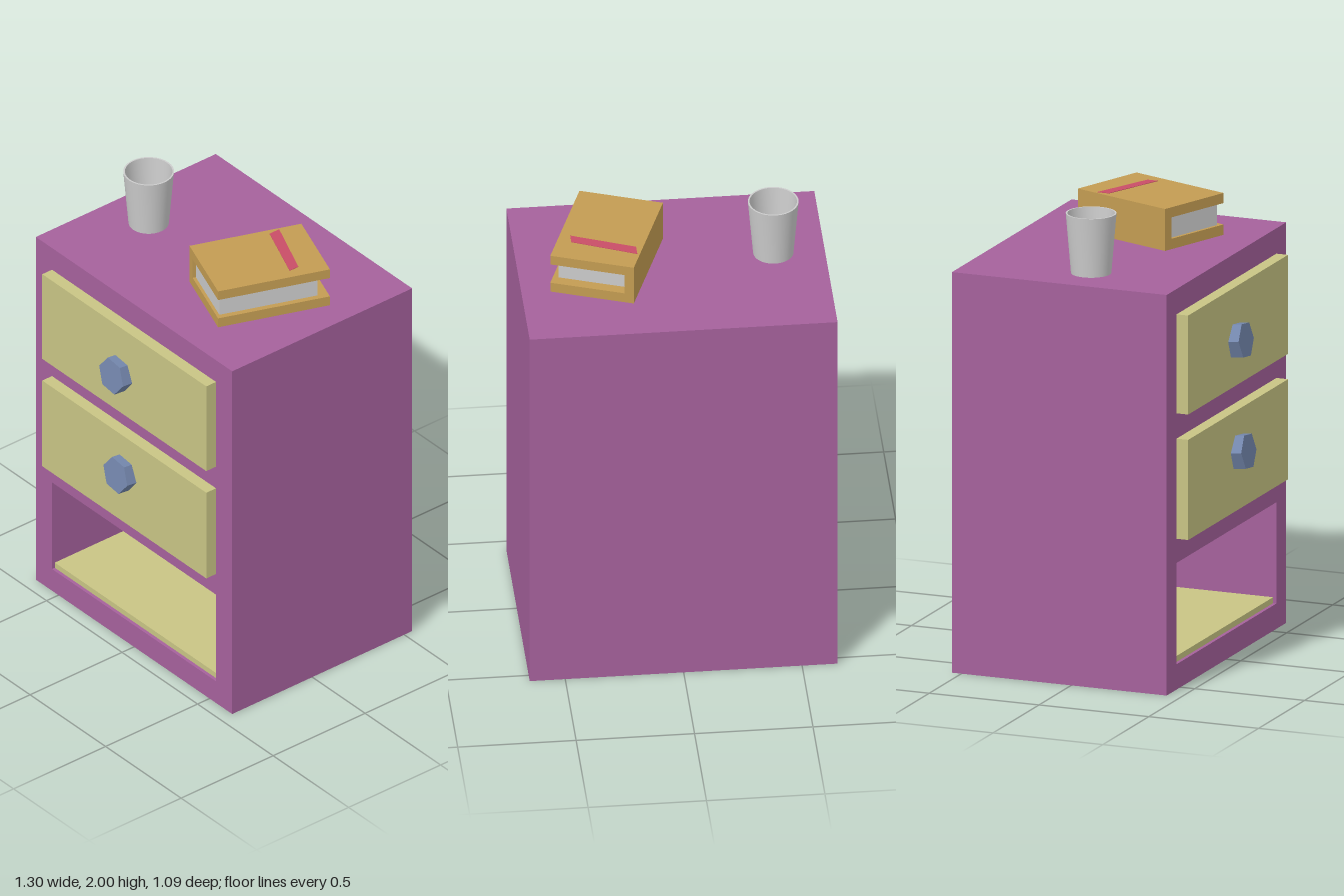
import * as THREE from 'three';
import { toCreasedNormals } from 'three/addons/utils/BufferGeometryUtils.js';

const mat = (color, opts = {}) => new THREE.MeshStandardMaterial({ color, ...opts });
const purple = mat(0xa5619c), olive = mat(0xc8c484), blue = mat(0x7487ad, { flatShading: true });
const gold = mat(0xc39c52), red = mat(0xc84d66), grey = mat(0xcccccc);
const greyThin = mat(0xcccccc, { side: THREE.DoubleSide });

function add(parent, name, geometry, material, x = 0, y = 0, z = 0) {
  const mesh = new THREE.Mesh(geometry, material);
  mesh.name = name;
  mesh.position.set(x, y, z);
  parent.add(mesh);
  return mesh;
}

// Box given by its limits on each axis
function block(parent, name, material, [x0, x1], [y0, y1], [z0, z1]) {
  return add(parent, name, new THREE.BoxGeometry(x1 - x0, y1 - y0, z1 - z0), material,
    (x0 + x1) / 2, (y0 + y1) / 2, (z0 + z1) / 2);
}

function rectangle(Type, x0, y0, x1, y1) {
  return new Type([[x0, y0], [x1, y0], [x1, y1], [x0, y1]].map(p => new THREE.Vector2(...p)));
}

export function createModel() {
  const model = new THREE.Group();
  model.name = 'nightstand';

  // Cabinet: solid back half, front half pierced by the open bottom bay
  const cabinet = new THREE.Group();
  cabinet.name = 'cabinet';
  model.add(cabinet);
  const face = rectangle(THREE.Shape, -0.65, 0, 0.65, 1.74);
  face.holes.push(rectangle(THREE.Path, -0.543, 0.11, 0.543, 0.55));
  add(cabinet, 'cabinetFront', new THREE.ExtrudeGeometry(face, { depth: 0.555, bevelEnabled: false }),
    purple, 0, 0, -0.12);
  block(cabinet, 'cabinetBack', purple, [-0.65, 0.65], [0, 1.74], [-0.543, -0.12]);
  block(cabinet, 'bayFloor', olive, [-0.543, 0.543], [0.11, 0.136], [-0.12, 0.42]);

  // Two drawers with slightly crooked hexagonal knobs
  for (const [y0, y1, knobX, knobY] of [[1.2, 1.63, -0.028, 1.402], [0.655, 1.09, 0, 0.912]]) {
    const drawer = new THREE.Group();
    drawer.name = 'drawer';
    model.add(drawer);
    block(drawer, 'drawerFront', olive, [-0.543, 0.543], [y0, y1], [0.38, 0.488]);
    const knob = add(drawer, 'knob', new THREE.CylinderGeometry(0.081, 0.081, 0.09, 6).rotateY(Math.PI / 6 + 0.38)
      .rotateX(Math.PI / 2), blue, knobX, knobY - 0.003, 0.492);
    knob.geometry.rotateZ(-0.13 - 0.38).rotateZ(0);
    knob.rotation.x = -0.11;
  }

  // Book lying at an angle, spine on its -x side
  const book = new THREE.Group();
  book.name = 'book';
  book.position.set(0.273, 1.74, -0.024);
  book.rotation.y = -Math.PI / 9;
  model.add(book);
  block(book, 'bottomCover', gold, [-0.181, 0.181], [0, 0.045], [-0.249, 0.249]);
  block(book, 'topCover', gold, [-0.181, 0.181], [0.138, 0.182], [-0.249, 0.249]);
  block(book, 'spine', gold, [-0.181, -0.141], [0.045, 0.138], [-0.249, 0.249]);
  block(book, 'pages', grey, [-0.141, 0.157], [0.045, 0.138], [-0.202, 0.235]);

  // Slanted ribbon on the top cover
  const ribbon = new THREE.Shape([[0.163, 0.168], [0.43, 0.058], [0.43, 0.105], [0.163, 0.22]]
    .map(p => new THREE.Vector2(...p)));
  add(model, 'ribbon', new THREE.ExtrudeGeometry(ribbon, { depth: 0.003, bevelEnabled: false })
    .rotateX(-Math.PI / 2), red, 0, 1.921, 0);

  // Tapered cup, hollow with a thin wall
  const profile = [[0, 0], [0.085, 0], [0.107, 0.26], [0.1, 0.26], [0.081, 0.012], [0, 0.012]]
    .map(p => new THREE.Vector2(...p));
  add(model, 'cup', toCreasedNormals(new THREE.LatheGeometry(profile, 32), 0.6), greyThin, -0.433, 1.74, 0);

  return model;
}
